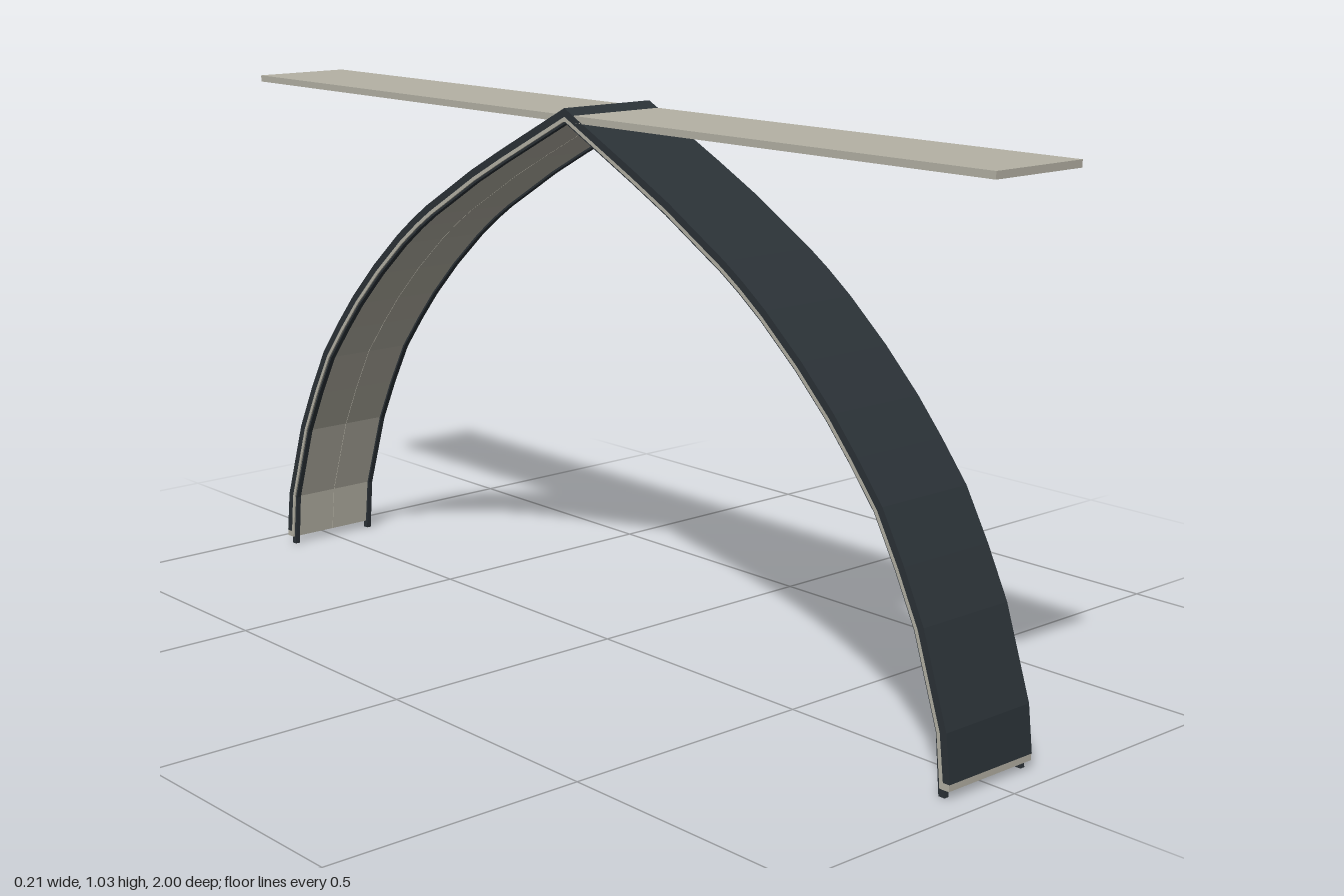
import * as THREE from 'three';

const HALF = 0.103; // half of the strip's width
const dark = new THREE.MeshStandardMaterial({ color: 0x2b3237 });
const light = new THREE.MeshStandardMaterial({ color: 0xb5b2a5 });

// Outer line of one arch leg, [z, y], foot to ridge
const LEG = [
  [0.951, 0.015], [0.941, 0.112], [0.887, 0.274], [0.842, 0.365], [0.792, 0.454],
  [0.735, 0.525], [0.68, 0.588], [0.605, 0.662], [0.52, 0.735], [0.465, 0.776],
  [0.42, 0.806], [0.36, 0.841], [0.28, 0.888], [0.19, 0.935], [0.1, 0.98], [0, 1.03],
];
const ARCH = [...LEG, ...LEG.slice(0, -1).reverse().map(([z, y]) => [-z, y])]
  .map(([z, y]) => new THREE.Vector2(z, y));

// Arch line moved inward by d, with mitred corners
function offset(d) {
  return ARCH.map((p, i) => {
    const a = ARCH[Math.max(i - 1, 0)], b = ARCH[Math.min(i + 1, ARCH.length - 1)];
    const normal = (u, v) => { const t = v.clone().sub(u).normalize(); return new THREE.Vector2(-t.y, t.x); };
    const n1 = i > 0 ? normal(a, p) : normal(p, b);
    const n2 = i < ARCH.length - 1 ? normal(p, b) : n1;
    const m = n1.clone().add(n2).normalize();
    return p.clone().addScaledVector(m, d / m.dot(n1));
  });
}

// Side outline in (z, y) extruded from x0 to x1
function slab(name, outline, x0, x1, material) {
  const geo = new THREE.ExtrudeGeometry(new THREE.Shape(outline), { depth: x1 - x0, bevelEnabled: false });
  geo.rotateY(-Math.PI / 2).translate(x1, 0, 0);
  const mesh = new THREE.Mesh(geo, material);
  mesh.name = name;
  return mesh;
}

// Move both ends of an arch line up or down to a given height
function endAt(line, y) {
  const pts = line.map(p => p.clone());
  pts[0].y = pts[pts.length - 1].y = y;
  return pts;
}

export function createModel() {
  const group = new THREE.Group();
  group.name = 'archedRoofSection';

  // Dark outer roof skin
  const top = offset(0), under = offset(0.014), inner = offset(0.021), ribLine = offset(0.025);
  group.add(slab('outerSkin', [...endAt(top, 0.027), ...endAt(under, 0.027).reverse()], -HALF, HALF, dark));

  // Light inner lining, two panels across for every segment
  const lining = new THREE.Group();
  lining.name = 'innerLining';
  const a = endAt(under, 0.015), b = endAt(inner, 0.015);
  for (let i = 0; i < a.length - 1; i++) {
    const quad = [a[i], a[i + 1], b[i + 1], b[i]];
    lining.add(slab('liningPanel', quad, -HALF, -0.0005, light));
    lining.add(slab('liningPanel', quad, 0.0005, HALF, light));
  }
  group.add(lining);

  // Narrow edge ribs that reach the ground
  const rib = [...endAt(offset(0.012), 0), ...endAt(ribLine, 0).reverse()];
  for (const s of [-1, 1]) {
    group.add(slab('edgeRib', rib, s * 0.095 - 0.005, s * 0.095 + 0.005, dark));
  }

  // Light lip below the skin at each foot
  for (const s of [-1, 1]) {
    const lip = new THREE.Mesh(new THREE.BoxGeometry(HALF * 2, 0.012, 0.014), light);
    lip.name = 'footLip';
    lip.position.set(0, 0.021, s * 0.943);
    group.add(lip);
  }

  // Level plank through the ridge
  const plank = new THREE.Mesh(new THREE.BoxGeometry(HALF * 2, 0.013, 2), light);
  plank.name = 'ridgePlank';
  plank.position.y = 1.0115;
  group.add(plank);

  return group;
}
